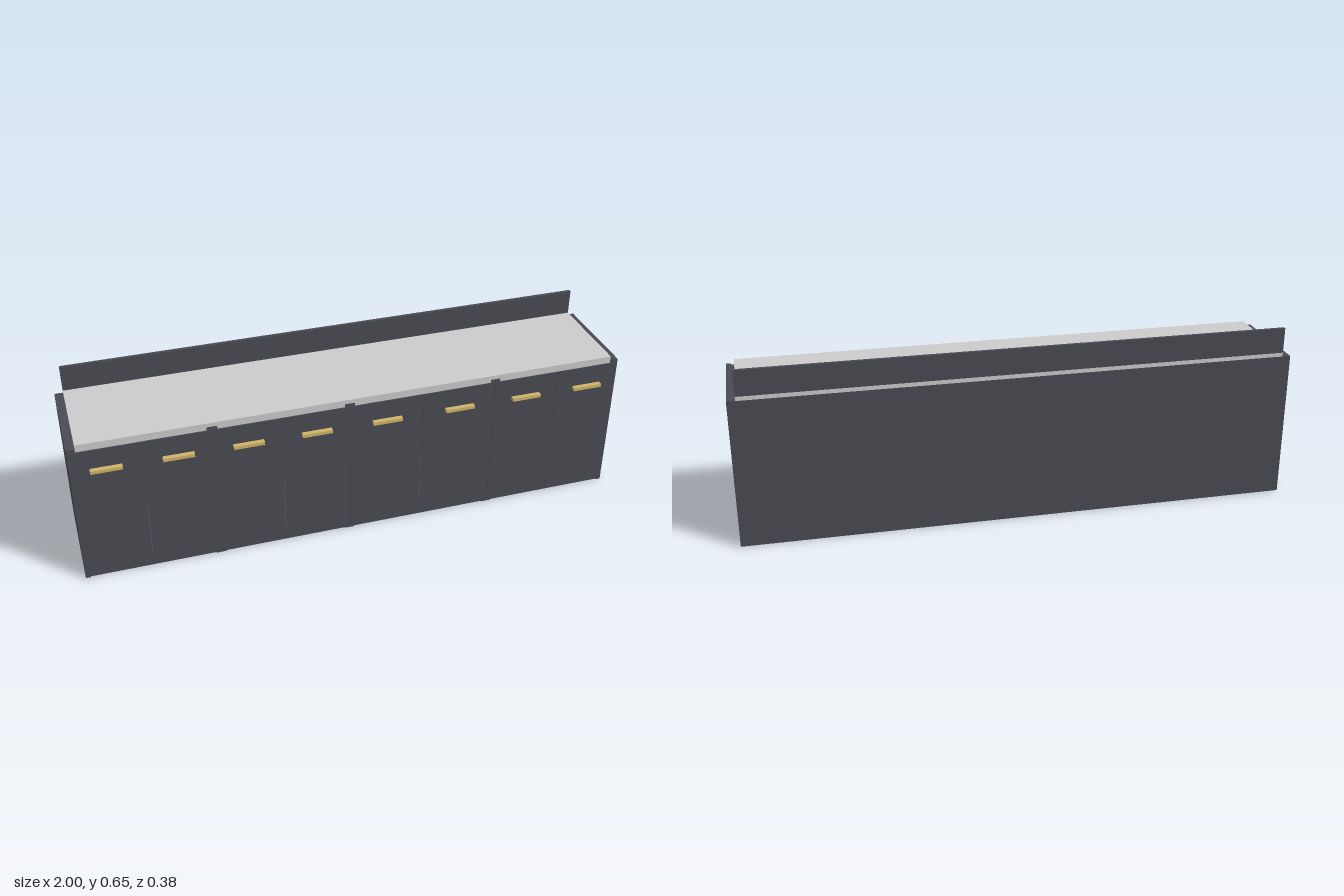
import * as THREE from 'three';

const dark = new THREE.MeshStandardMaterial({ color: 0x4a4a53 });
const stone = new THREE.MeshStandardMaterial({ color: 0xbcbcbc });
const brass = new THREE.MeshStandardMaterial({ color: 0xcfb36a });

// Box given by its lower and upper limits on each axis
function box(name, material, [x0, x1], [y0, y1], [z0, z1]) {
  const mesh = new THREE.Mesh(new THREE.BoxGeometry(x1 - x0, y1 - y0, z1 - z0), material);
  mesh.position.set((x0 + x1) / 2, (y0 + y1) / 2, (z0 + z1) / 2);
  mesh.name = name;
  return mesh;
}

const BACK = -0.192, FRONT = 0.172, TOP = 0.545, PANEL = 0.018;

// One cabinet: open-fronted carcass with a pair of doors and bar handles
function createCabinet(x0, x1) {
  const cabinet = new THREE.Group();
  cabinet.name = 'cabinet';
  const inner = [x0 + PANEL, x1 - PANEL];
  cabinet.add(
    box('sidePanel', dark, [x0, x0 + PANEL], [0, TOP], [BACK, FRONT]),
    box('sidePanel', dark, [x1 - PANEL, x1], [0, TOP], [BACK, FRONT]),
    box('backPanel', dark, inner, [0, TOP], [BACK, BACK + 0.01]),
    box('bottomPanel', dark, inner, [0, 0.015], [BACK + 0.01, 0.168]),
    box('plinth', dark, inner, [0.015, 0.06], [0.15, 0.168]),
    box('topPanel', dark, inner, [TOP - PANEL, TOP - 0.003], [BACK + 0.01, 0.168])
  );

  const width = (x1 - x0) / 2, gap = 0.002;
  for (let i = 0; i < 2; i++) {
    const left = x0 + i * width, centre = left + width / 2;
    cabinet.add(
      box('door', dark, [left + gap, left + width - gap], [0.013, 0.533], [FRONT, 0.175]),
      box('handle', brass, [centre - 0.054, centre + 0.054], [0.449, 0.461], [0.175, 0.193])
    );
  }
  return cabinet;
}

export function createModel() {
  const model = new THREE.Group();
  model.name = 'kitchenCounter';

  // Row of four cabinets, the third one wider
  const edges = [-1, -0.515, -0.03, 0.515, 1];
  for (let i = 0; i < 4; i++) model.add(createCabinet(edges[i], edges[i + 1]));

  // Worktop, slightly sunk between the side panels, and rear upstand
  model.add(
    box('worktop', stone, [-0.97, 0.97], [0.533, 0.56], [BACK + 0.0005, FRONT - 0.0005]),
    box('backsplash', dark, [-0.97, 0.97], [0.56, 0.653], [BACK, -0.18])
  );
  return model;
}
